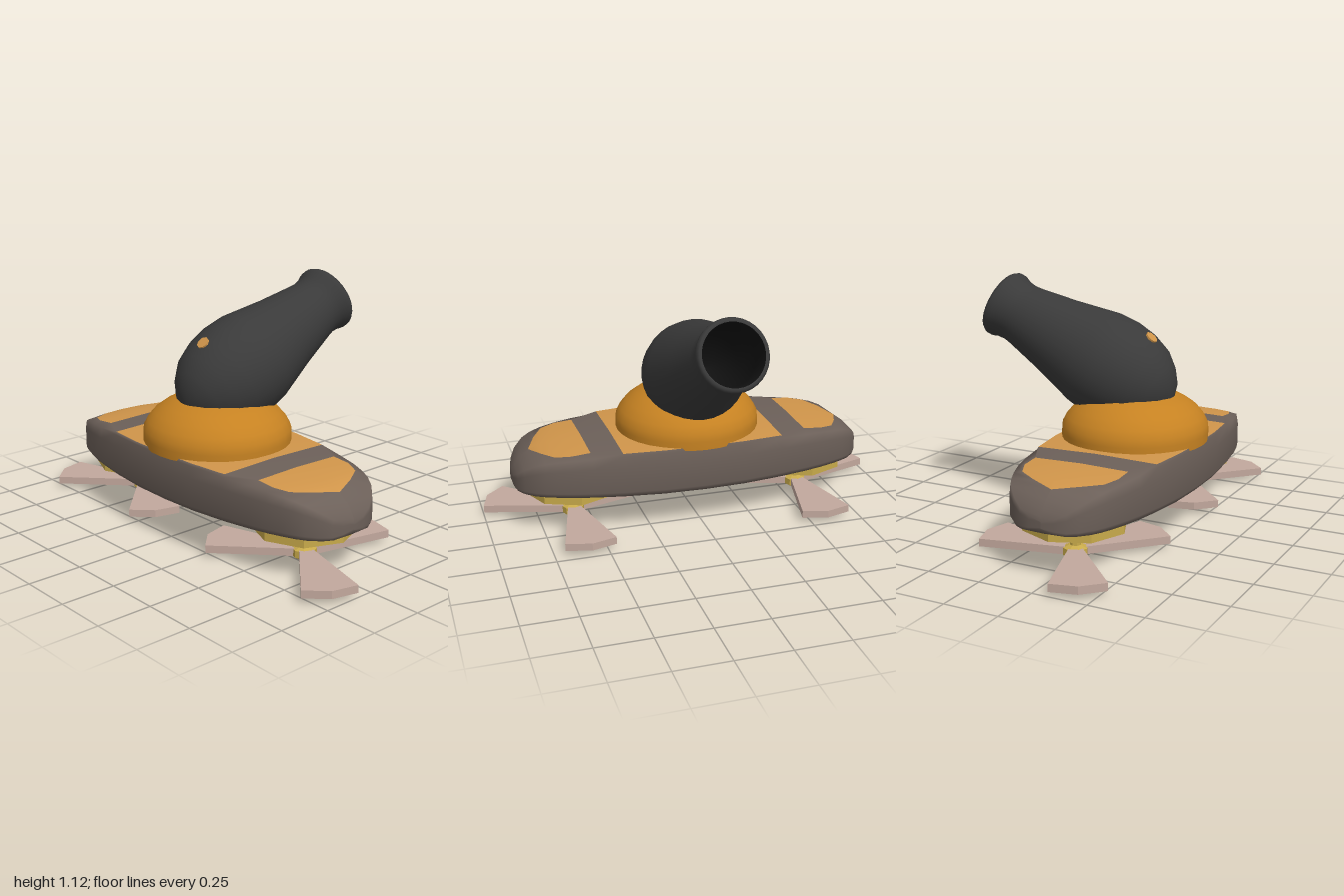
import * as THREE from 'three';
import { toCreasedNormals } from 'three/addons/utils/BufferGeometryUtils.js';

const mat = (name, color) => {
  const m = new THREE.MeshStandardMaterial({ color });
  m.name = name;
  return m;
};
const V = (pts) => pts.map(([x, y]) => new THREE.Vector2(x, y));

function add(parent, name, geometry, material, x = 0, y = 0, z = 0) {
  const mesh = new THREE.Mesh(geometry, material);
  mesh.name = name;
  mesh.position.set(x, y, z);
  parent.add(mesh);
  return mesh;
}

// Hull lofted along x; the top faces between the patch edges take the second material
function hullGeometry() {
  // x, half width, bottom, top, half width of the painted patch
  const half = [
    [0, 0.333, 0.18, 0.42, 0.32], [0.2, 0.329, 0.182, 0.42, 0.315],
    [0.39, 0.31, 0.186, 0.417, 0.292], [0.53, 0.288, 0.19, 0.411, 0.225],
    [0.62, 0.268, 0.193, 0.404, 0.225], [0.69, 0.246, 0.195, 0.395, 0.195],
    [0.74, 0.226, 0.196, 0.385, 0.11], [0.785, 0.2, 0.197, 0.368, 0],
    [0.83, 0.155, 0.198, 0.335, 0], [0.855, 0.11, 0.2, 0.3, 0],
    [0.868, 0.06, 0.21, 0.275, 0], [0.872, 0, 0.225, 0.255, 0],
  ];
  const stations = [...half.slice(1).reverse().map(([x, ...r]) => [-x, ...r]), ...half];
  const pos = [];
  for (const [x, w, b, t, p] of stations) {
    const h = t - b;
    const side = [
      [0.92 * w, b + 0.03 * h], [w, b + 0.16 * h], [w, b + 0.7 * h],
      [0.965 * w, b + 0.92 * h], [p, t - 0.03 * h * (w ? p / w : 0)],
    ];
    const loop = [[0, b], ...side, [0, t], ...side.slice().reverse().map(([z, y]) => [-z, y])];
    for (const [z, y] of loop) pos.push(x, y, z);
  }
  const n = 12, plain = [], painted = [];
  for (let i = 0; i < stations.length - 1; i++) {
    const mid = Math.abs(stations[i][0] + stations[i + 1][0]) / 2;
    const inPatch = mid < 0.39 || (mid > 0.53 && mid < 0.785);
    for (let k = 0; k < n; k++) {
      const a = i * n + k, d = i * n + (k + 1) % n;
      const list = inPatch && (k === 5 || k === 6) ? painted : plain;
      list.push(a, a + n, d + n, a, d + n, d);
    }
  }
  const g = new THREE.BufferGeometry();
  g.setAttribute('position', new THREE.Float32BufferAttribute(pos, 3));
  g.setIndex([...plain, ...painted]);
  g.addGroup(0, plain.length, 0);
  g.addGroup(plain.length, painted.length, 1);
  g.computeVertexNormals();
  return g;
}

const faceted = (g) => toCreasedNormals(g, 0.3);

// One lift fan: octagonal mount, shaft, hub bead and three blades
function createFan(brass, bladeColor) {
  const fan = new THREE.Group();
  fan.name = 'fan';
  add(fan, 'fanMount', faceted(new THREE.CylinderGeometry(0.234, 0.234, 0.048, 8)), brass, 0, 0.174, 0);
  add(fan, 'fanShaft', faceted(new THREE.CylinderGeometry(0.025, 0.025, 0.1, 8)), brass, 0, 0.105, 0);
  const hub = new THREE.LatheGeometry(V([[0, 0], [0.028, 0.003], [0.056, 0.02], [0.056, 0.052], [0.028, 0.064], [0, 0.064]]), 8);
  add(fan, 'fanHub', faceted(hub), brass);

  const shape = new THREE.Shape(V([[-0.028, 0.02], [0.028, 0.02], [0.12, 0.415], [0, 0.448], [-0.12, 0.415]]));
  const bladeGeo = new THREE.ExtrudeGeometry(shape, { depth: 0.035, bevelEnabled: false });
  bladeGeo.rotateX(-Math.PI / 2);
  for (let i = 0; i < 3; i++) {
    add(fan, 'fanBlade', bladeGeo, bladeColor, 0, 0.02, 0).rotation.y = (i * Math.PI * 2) / 3;
  }
  return fan;
}

export function createModel() {
  const hullBrown = mat('hull brown', 0x6c6059);
  const paint = mat('patch amber', 0xd0954a);
  const orange = mat('dome orange', 0xc68222);
  const iron = mat('cannon iron', 0x3a3a3a);
  const soot = mat('bore black', 0x111111);
  const brass = mat('brass', 0xc8aa4a);
  const bladeColor = mat('blade pink', 0xc2a89d);

  const model = new THREE.Group();
  model.name = 'hoveringCannon';
  const base = new THREE.Group();
  base.name = 'base';
  base.position.z = 0.22;
  model.add(base);

  add(base, 'hull', hullGeometry(), [hullBrown, paint]);

  // Turret dome
  const dome = new THREE.LatheGeometry(V([
    [0.336, 0.4], [0.337, 0.44], [0.335, 0.475], [0.316, 0.512], [0.284, 0.55],
    [0.24, 0.582], [0.185, 0.61], [0.1, 0.63], [0, 0.636],
  ]), 32);
  add(base, 'turretDome', dome, orange).scale.x = 1.035;

  for (const side of [-1, 1]) {
    const fan = createFan(brass, bladeColor);
    fan.position.x = side * 0.58;
    base.add(fan);
  }

  // Cannon, with its origin at the muzzle and its axis along local y
  const cannon = new THREE.Group();
  cannon.name = 'cannon';
  cannon.position.set(0, 0.98, -0.49);
  cannon.rotation.x = -THREE.MathUtils.degToRad(66);
  model.add(cannon);
  add(cannon, 'barrel', new THREE.LatheGeometry(V([
    [0, -0.975], [0.04, -0.967], [0.1, -0.942], [0.15, -0.9], [0.2, -0.833], [0.23, -0.745],
    [0.242, -0.65], [0.237, -0.554], [0.188, -0.34], [0.152, -0.15], [0.146, -0.105],
    [0.151, -0.062], [0.162, -0.035], [0.163, -0.012], [0.154, 0.002], [0.142, 0],
  ]), 32), iron);
  add(cannon, 'bore', new THREE.LatheGeometry(V([
    [0.142, 0], [0.134, -0.03], [0.13, -0.1], [0.15, -0.4], [0, -0.45],
  ]), 32), soot);

  // Touch hole on the breech
  const plug = add(cannon, 'touchHole', new THREE.CylinderGeometry(0.03, 0.03, 0.016, 8), paint, 0, -0.762, 0.222);
  plug.rotation.x = Math.PI / 2 + 0.33;

  return model;
}
